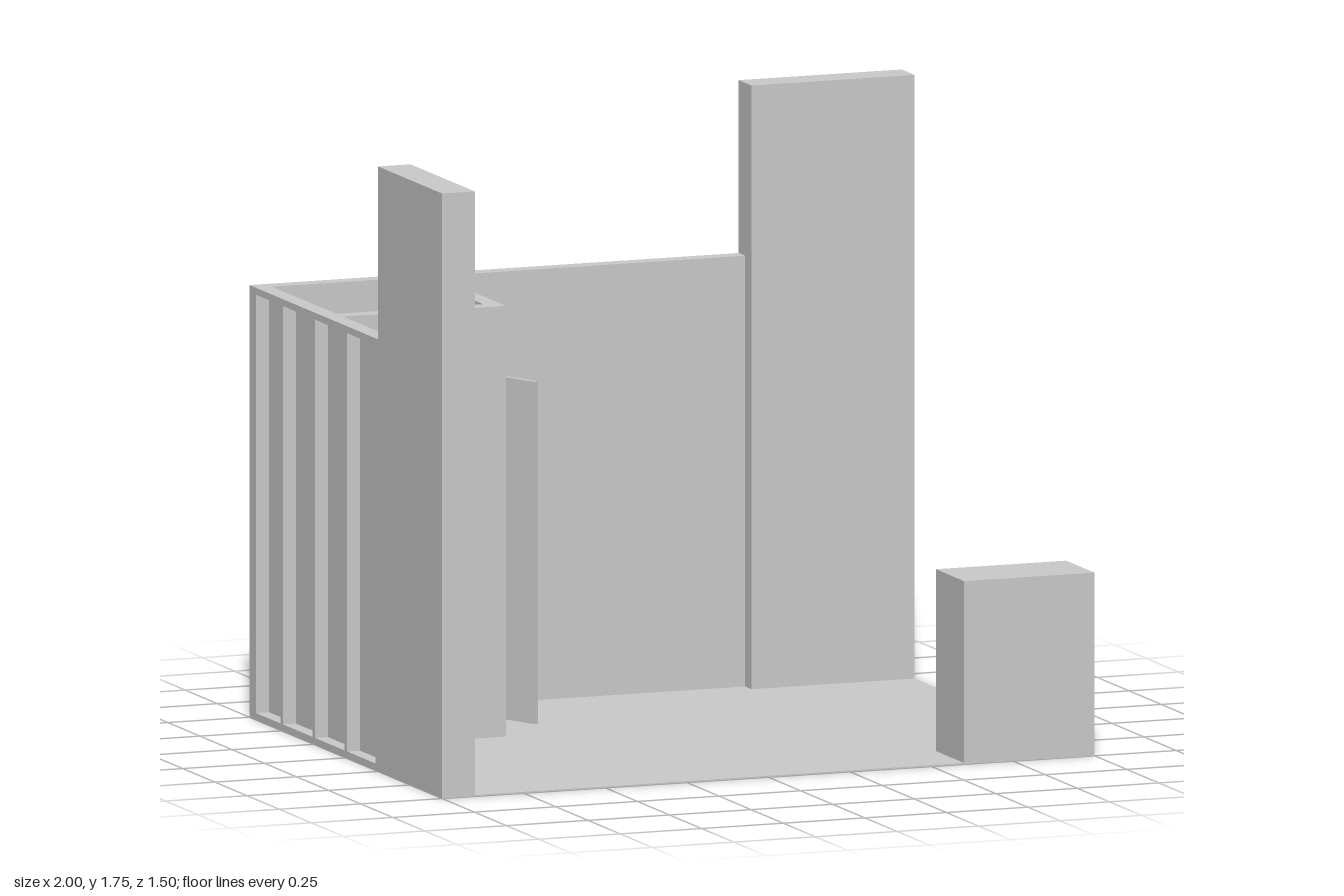
import * as THREE from 'three';

const material = new THREE.MeshStandardMaterial({ color: 0xcccccc, flatShading: true });

// Box given by its minimum and maximum along each axis
function block(parent, name, [x0, x1], [y0, y1], [z0, z1]) {
  const mesh = new THREE.Mesh(new THREE.BoxGeometry(x1 - x0, y1 - y0, z1 - z0), material);
  mesh.position.set((x0 + x1) / 2, (y0 + y1) / 2, (z0 + z1) / 2);
  mesh.name = name;
  parent.add(mesh);
  return mesh;
}

const WALL = 0.05, HEIGHT = 1.25, SKIN = 0.01, STUD = 0.02;

// Wall with a smooth inner skin (local z = 0) and open studs on the outside (+z)
function framedWall(name, length, studCentres) {
  const wall = new THREE.Group();
  wall.name = name;
  block(wall, 'innerPanel', [0, length], [0, HEIGHT], [0, SKIN]);
  block(wall, 'bottomPlate', [0, length], [0, STUD], [SKIN, WALL]);
  block(wall, 'topPlate', [0, length], [HEIGHT - STUD, HEIGHT], [SKIN, WALL]);
  for (const c of studCentres) {
    block(wall, 'stud', [c - STUD / 2, c + STUD / 2], [STUD, HEIGHT - STUD], [SKIN, WALL]);
  }
  return wall;
}

export function createModel() {
  const model = new THREE.Group();
  model.name = 'exhibitionBooth';

  block(model, 'floor', [-1, 1], [0, 0.004], [-0.75, 0.75]);

  // Tall end panels
  block(model, 'tallBackPanel', [0.5, 1], [0, 1.75], [-0.75, -0.65]);
  block(model, 'tallSidePanel', [-1, -0.9], [0, 1.75], [0.25, 0.75]);

  // Low walls with exposed framing behind
  const back = framedWall('backWall', 1.5, [0.01, 0.25, 0.5, 0.75, 1, 1.25, 1.49]);
  back.rotation.y = Math.PI;
  back.position.set(0.5, 0, -0.7);
  const side = framedWall('sideWall', 0.95, [0.2, 0.45, 0.7, 0.94]);
  side.rotation.y = -Math.PI / 2;
  side.position.set(-0.95, 0, -0.7);
  model.add(back, side);

  // Storage closet: front wall, and a side wall with a doorway
  const closet = new THREE.Group();
  closet.name = 'closet';
  block(closet, 'closetFront', [-0.95, -0.45], [0, HEIGHT], [-0.2, -0.15]);
  const outline = new THREE.Shape();
  [[0.2, 0], [0.25, 0], [0.25, 1], [0.65, 1], [0.65, 0], [0.7, 0], [0.7, HEIGHT], [0.2, HEIGHT]]
    .forEach(([x, y], i) => (i ? outline.lineTo(x, y) : outline.moveTo(x, y)));
  const doorway = new THREE.Mesh(
    new THREE.ExtrudeGeometry(outline, { depth: WALL, bevelEnabled: false }), material);
  doorway.name = 'closetDoorway';
  doorway.rotation.y = Math.PI / 2;
  doorway.position.x = -0.5;
  closet.add(doorway);

  // Door standing ajar, hinged at the back jamb
  const hinge = new THREE.Group();
  hinge.name = 'door';
  block(hinge, 'doorLeaf', [-0.015, 0], [0.01, 1], [0, 0.39]);
  hinge.position.set(-0.45, 0, -0.65);
  hinge.rotation.y = Math.atan2(0.152, 0.355);
  closet.add(hinge);
  model.add(closet);

  block(model, 'counter', [0.6, 1], [0, 0.53], [0.53, 0.75]);

  return model;
}
